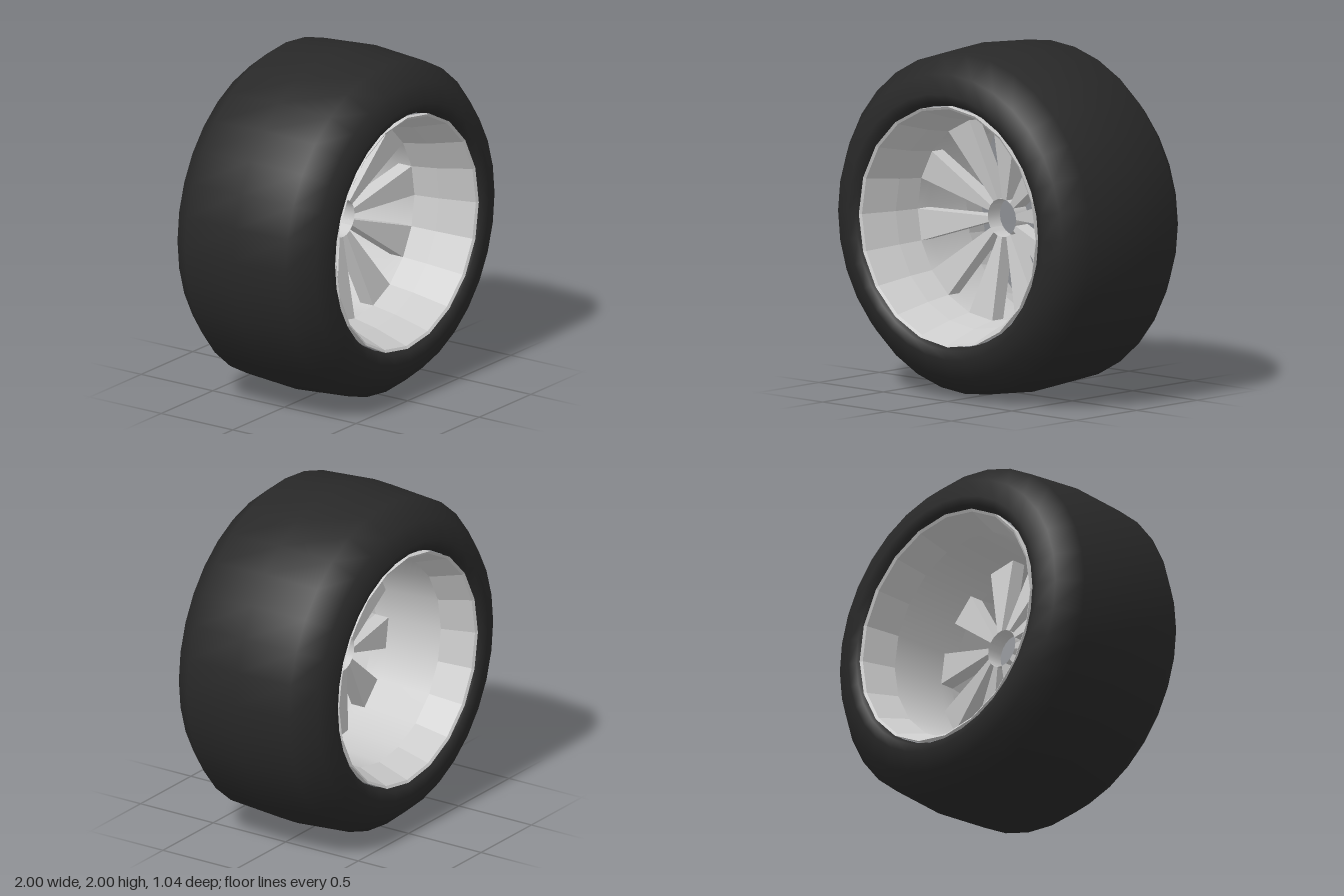
import * as THREE from 'three';

const SIDES = 20;      // facets around the rim
const SPOKES = 10;

const tyreMat = new THREE.MeshStandardMaterial({ color: 0x282828 });
const smoothMat = new THREE.MeshStandardMaterial({ color: 0xcccccc, side: THREE.DoubleSide });
const flatMat = new THREE.MeshStandardMaterial({ color: 0xcccccc, side: THREE.DoubleSide, flatShading: true });

// Revolve a [radius, z] profile around the z axis
function revolve(name, profile, sides, material) {
  const geo = new THREE.LatheGeometry(profile.map(([r, z]) => new THREE.Vector2(r, z)), sides);
  geo.rotateX(Math.PI / 2);
  const mesh = new THREE.Mesh(geo, material);
  mesh.name = name;
  return mesh;
}

// Wedge spoke: a box bent into an 18 degree sector that dishes towards the front
function spokeGeometry(inner, outer, angle) {
  const geo = new THREE.BoxGeometry(1, 1, 1);
  const p = geo.attributes.position;
  for (let i = 0; i < p.count; i++) {
    const atRim = p.getX(i) > 0;
    const front = p.getZ(i) > 0;
    const r = atRim ? outer : inner;
    const a = p.getY(i) > 0 ? angle : 0;
    const z = atRim ? (front ? 0.13 : 0.04) : (front ? 0.05 : -0.05);
    p.setXYZ(i, r * Math.cos(a), r * Math.sin(a), z);
  }
  geo.computeVertexNormals();
  return geo;
}

export function createModel() {
  const wheel = new THREE.Group();
  wheel.name = 'wheel';

  // Tyre: rounded shoulders, slightly crowned tread, beads tucked behind the rim lips
  const half = [[0.975, 0.35], [0.87, 0.48], [0.76, 0.52], [0.71, 0.505], [0.69, 0.46]];
  const back = half.map(([r, z]) => [r, -z]).reverse();
  wheel.add(revolve('tyre', [...back, [1, 0], ...half], 32, tyreMat));

  // Rim: faceted flanges on both sides and a smooth barrel between
  wheel.add(revolve('frontRim', [[0.69, 0.46], [0.69, 0.5], [0.675, 0.49], [0.61, 0.28], [0.58, 0.13]], SIDES, flatMat));
  wheel.add(revolve('barrel', [[0.58, 0.13], [0.58, 0.04], [0.61, -0.3]], SIDES, smoothMat));
  wheel.add(revolve('backRim', [[0.61, -0.3], [0.675, -0.49], [0.69, -0.5], [0.69, -0.46]], SIDES, flatMat));

  // Hub: short open ring
  wheel.add(revolve('hub', [[0.11, 0.05], [0.11, -0.05]], SIDES, smoothMat));

  // Spokes
  const geo = spokeGeometry(0.11, 0.58, Math.PI / SPOKES);
  const spokes = new THREE.Group();
  spokes.name = 'spokes';
  for (let i = 0; i < SPOKES; i++) {
    const spoke = new THREE.Mesh(geo, flatMat);
    spoke.name = 'spoke';
    spoke.rotation.z = (i * 2 * Math.PI) / SPOKES;
    spokes.add(spoke);
  }
  wheel.add(spokes);

  wheel.position.y = 1;
  const model = new THREE.Group();
  model.name = 'model';
  model.add(wheel);
  return model;
}
